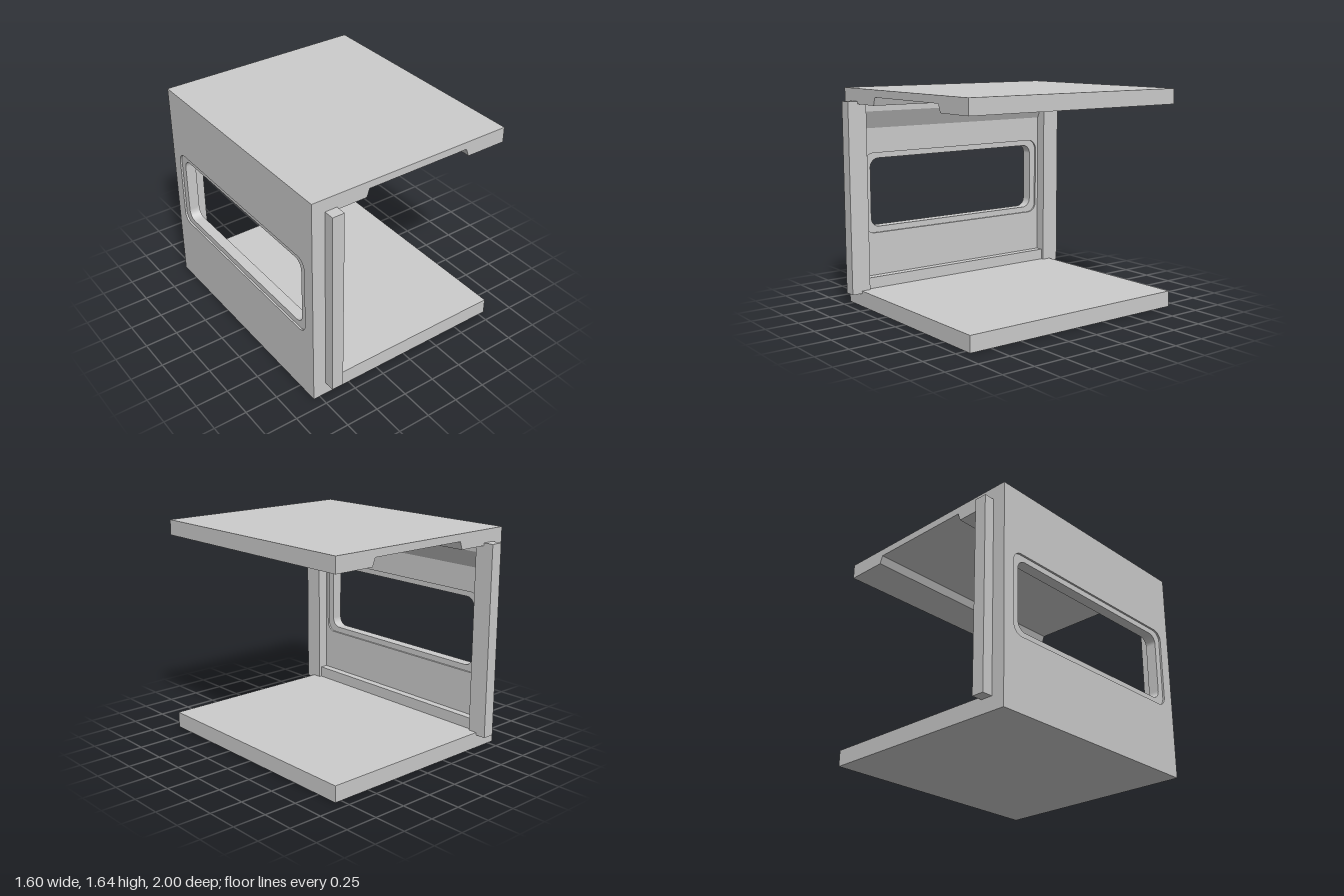
import * as THREE from 'three';

const material = new THREE.MeshStandardMaterial({ color: 0xcccccc, flatShading: true });

function add(group, name, geometry) {
  const mesh = new THREE.Mesh(geometry, material);
  mesh.name = name;
  group.add(mesh);
  return mesh;
}

// Extrude an x/y outline along z, centred on z = 0
function profile(points, length) {
  const shape = new THREE.Shape(points.map(([x, y]) => new THREE.Vector2(x, y)));
  return new THREE.ExtrudeGeometry(shape, { depth: length, bevelEnabled: false })
    .translate(0, 0, -length / 2);
}

// Rounded rectangle used as a window opening
function roundedHole(halfWidth, y0, y1, r) {
  const p = new THREE.Path();
  p.absarc(halfWidth - r, y1 - r, r, 0, Math.PI / 2);
  p.absarc(-halfWidth + r, y1 - r, r, Math.PI / 2, Math.PI);
  p.absarc(-halfWidth + r, y0 + r, r, Math.PI, Math.PI * 1.5);
  p.absarc(halfWidth - r, y0 + r, r, Math.PI * 1.5, Math.PI * 2);
  p.closePath();
  return p;
}

// One layer of the side wall, from x0 to x1, pierced by a hole
function wallLayer(x0, x1, hole) {
  const shape = new THREE.Shape([
    new THREE.Vector2(-0.92, 0.12), new THREE.Vector2(0.92, 0.12),
    new THREE.Vector2(0.92, 1.53), new THREE.Vector2(-0.92, 1.53),
  ]);
  shape.holes.push(hole);
  return new THREE.ExtrudeGeometry(shape, { depth: x1 - x0, bevelEnabled: false, curveSegments: 8 })
    .rotateY(Math.PI / 2)
    .translate(x0, 0, 0);
}

export function createModel() {
  const model = new THREE.Group();
  model.name = 'cabinSection';

  // Floor slab
  add(model, 'floor', profile([[-0.8, 0], [0.8, 0], [0.8, 0.12], [-0.8, 0.12]], 1.84));

  // Roof slab with a shallow recess in the ceiling
  add(model, 'roof', profile([
    [-0.8, 1.53], [-0.375, 1.53], [-0.355, 1.59], [0.46, 1.59],
    [0.483, 1.53], [0.8, 1.53], [0.8, 1.645], [-0.8, 1.645],
  ], 1.84));

  // Side wall: a core with a rebate around the window on both faces
  const wall = new THREE.Group();
  wall.name = 'sideWall';
  const rebate = () => roundedHole(0.827, 0.535, 1.15, 0.075);
  add(wall, 'outerSkin', wallLayer(-0.8, -0.786, rebate()));
  add(wall, 'wallCore', wallLayer(-0.786, -0.704, roundedHole(0.773, 0.58, 1.108, 0.07)));
  add(wall, 'innerSkin', wallLayer(-0.704, -0.69, rebate()));
  model.add(wall);

  // Skirting ledge and sloped cornice between the posts
  add(model, 'skirting', profile([[-0.69, 0.12], [-0.63, 0.12], [-0.63, 0.205], [-0.69, 0.205]], 1.7));
  add(model, 'cornice', profile([[-0.69, 1.34], [-0.63, 1.47], [-0.63, 1.53], [-0.69, 1.53]], 1.7));

  // Corner posts at both ends of the wall
  for (const side of [1, -1]) {
    const post = add(model, side > 0 ? 'frontPost' : 'backPost', new THREE.BoxGeometry(0.092, 1.45, 0.15));
    post.position.set(-0.654, 0.825, side * 0.925);
  }

  return model;
}
